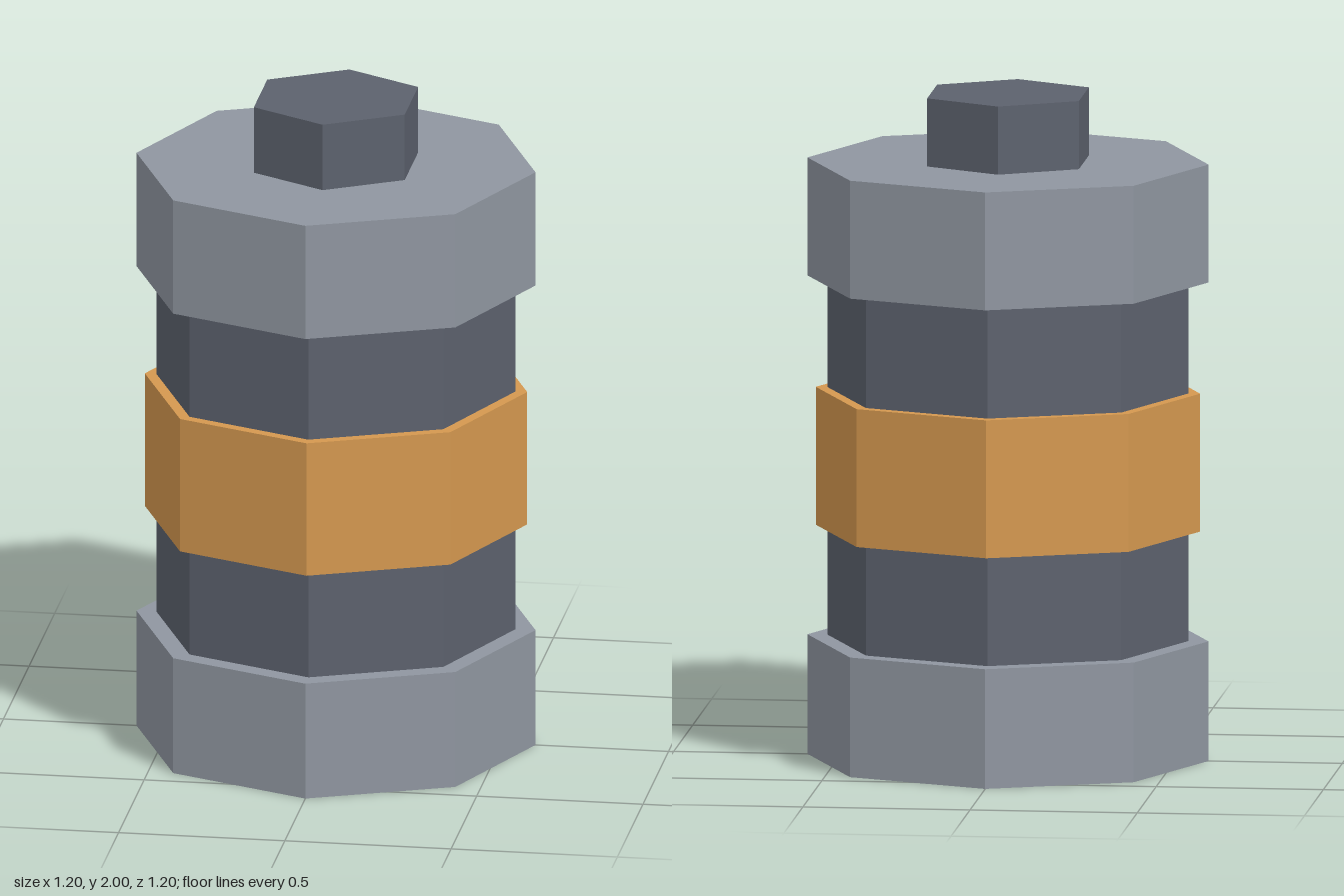
import * as THREE from 'three';

const material = (name, color) => {
  const m = new THREE.MeshStandardMaterial({ color, flatShading: true });
  m.name = name;
  return m;
};

export function createModel() {
  const group = new THREE.Group();
  group.name = 'canister';

  const grey = material('light grey metal', 0x8f96a0);
  const dark = material('dark grey metal', 0x5c616d);
  const orange = material('orange band', 0xd4984f);

  // Upright prism between two heights, with a corner facing the front
  const prism = (name, radius, bottom, top, sides, mat) => {
    const geometry = new THREE.CylinderGeometry(radius, radius, top - bottom, sides);
    const mesh = new THREE.Mesh(geometry, mat);
    mesh.name = name;
    mesh.position.y = (bottom + top) / 2;
    group.add(mesh);
  };

  // Octagonal body with its end caps and middle band
  prism('body', 0.54, 0.3, 1.5, 8, dark);
  prism('bottomCap', 0.6, 0, 0.36, 8, grey);
  prism('middleBand', 0.575, 0.69, 1.105, 8, orange);
  prism('topCap', 0.6, 1.44, 1.795, 8, grey);

  // Hexagonal knob on top
  prism('knob', 0.262, 1.75, 2, 6, dark);

  return group;
}
